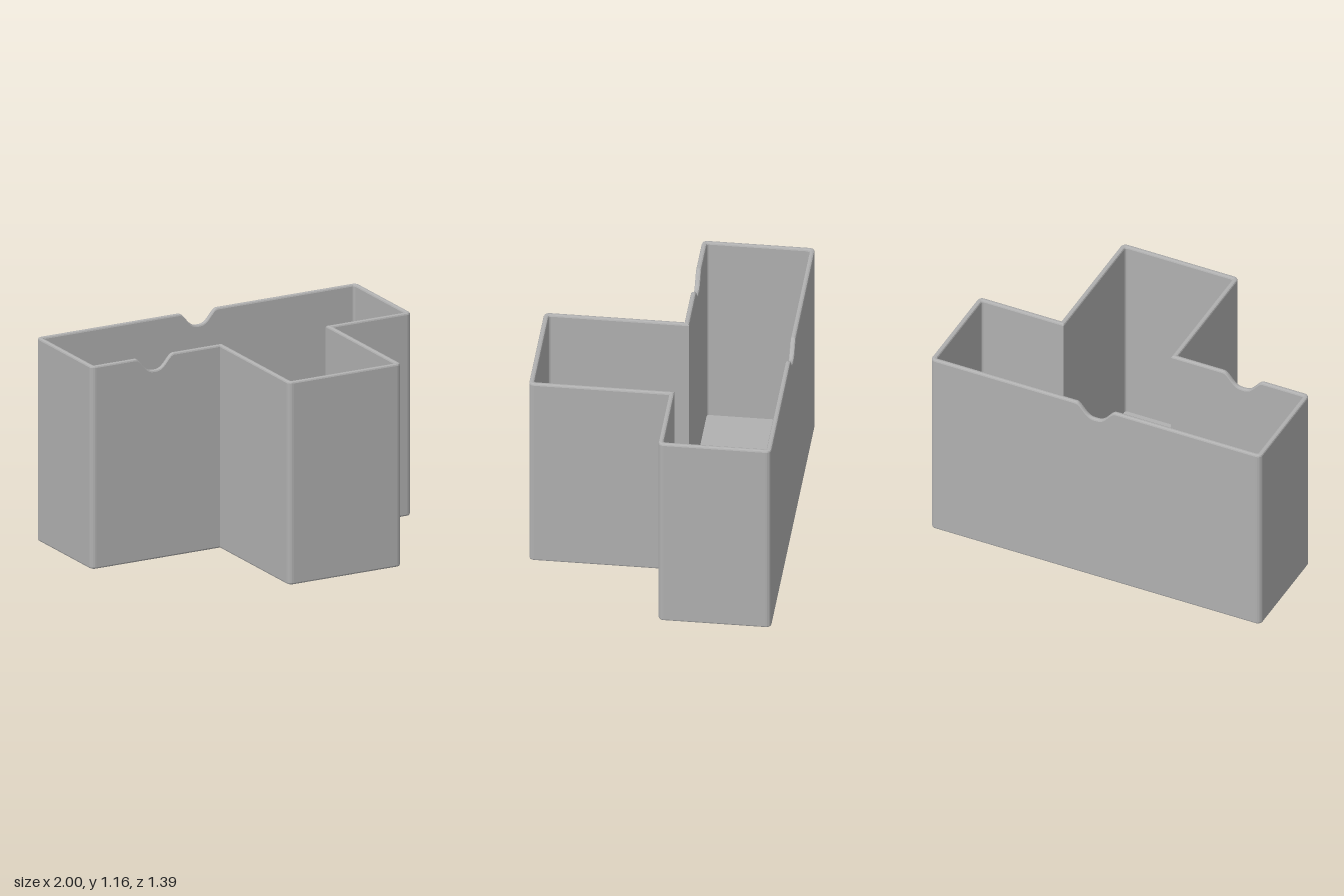
import * as THREE from 'three';
import { toCreasedNormals } from 'three/addons/utils/BufferGeometryUtils.js';

const H = 1.16, WALL = 0.028, FLOOR = 0.03, BEVEL = 0.01;

// T-shaped plan as (x, z) corners, counter-clockwise seen from above
const PLAN = [
  [-1, -0.075], [-0.2, -0.075], [-0.2, 0.695], [0.505, 0.695],
  [0.505, -0.075], [1, -0.075], [1, -0.695], [-1, -0.695],
].map(([x, z]) => new THREE.Vector2(x, z));

// Finger notches: plan edge, centre x, half width, depth
const NOTCHES = [
  { edge: 0, x: -0.605, half: 0.12, depth: 0.08 },
  { edge: 6, x: 0, half: 0.12, depth: 0.08 },
];

// Outline moved inwards by d; every outline has the same number of points
function outline(d) {
  const points = [], n = PLAN.length;
  PLAN.forEach((p, i) => {
    const a = p.clone().sub(PLAN[(i + n - 1) % n]).normalize();
    const b = PLAN[(i + 1) % n].clone().sub(p).normalize();
    const corner = new THREE.Vector2(p.x + d * (a.y + b.y), p.y - d * (a.x + b.x));
    const convex = a.cross(b) < 0;
    if (convex) {
      const r = Math.max(0.03 - d, 0.013);
      const centre = corner.clone().addScaledVector(a, -r).addScaledVector(b, r);
      for (let k = 0; k <= 5; k++) {
        const t = (k / 5) * Math.PI / 2;
        const q = centre.clone().addScaledVector(a, r * Math.sin(t)).addScaledVector(b, -r * Math.cos(t));
        points.push({ x: q.x, z: q.y, drop: 0 });
      }
    } else points.push({ x: corner.x, z: corner.y, drop: 0 });

    // extra points where the rim dips into a notch
    const notch = NOTCHES.find((m) => m.edge === i);
    if (notch) {
      for (let k = -16; k <= 16; k++) {
        const t = k / 16;
        const drop = notch.depth * (1 + Math.cos(Math.PI * Math.abs(t) ** 1.4)) / 2;
        points.push({ x: notch.x + b.x * t * notch.half, z: corner.y, drop });
      }
    }
  });
  return points;
}

// Wall section swept round the plan: [inset, height, follows the rim]
function wallGeometry() {
  const e = BEVEL * 0.3;
  const section = [
    [BEVEL, 0, 0], [e, e, 0], [0, BEVEL, 0],
    [0, H - BEVEL, 1], [e, H - e, 1], [BEVEL, H, 1],
    [WALL - BEVEL, H, 1], [WALL - e, H - e, 1], [WALL, H - BEVEL, 1],
    [WALL, FLOOR, 0],
  ];
  const position = [], index = [];
  let count = 0;
  section.forEach(([inset, y, rim], j) => {
    const loop = outline(inset);
    count = loop.length;
    loop.forEach((p, i) => {
      position.push(p.x, y - rim * p.drop, p.z);
      if (j === section.length - 1) return;
      const next = (i + 1) % count;
      const a = j * count + i, b = j * count + next;
      index.push(a, b, b + count, a, b + count, a + count);
    });
  });
  const geometry = new THREE.BufferGeometry();
  geometry.setAttribute('position', new THREE.Float32BufferAttribute(position, 3));
  geometry.setIndex(index);
  return toCreasedNormals(geometry, 0.15);
}

// Flat plate filling the outline at a given inset, facing up or down
function plateGeometry(inset, y, up) {
  const side = up ? -1 : 1;
  const shape = new THREE.Shape(outline(inset).map((p) => new THREE.Vector2(p.x, side * p.z)));
  return new THREE.ShapeGeometry(shape).rotateX(side * Math.PI / 2).translate(0, y, 0);
}

export function createModel() {
  const group = new THREE.Group();
  group.name = 'tShapedBin';
  const grey = new THREE.MeshStandardMaterial({ color: 0xb0b0b0 });
  grey.name = 'grey';

  const add = (name, geometry) => {
    const mesh = new THREE.Mesh(geometry, grey);
    mesh.name = name;
    group.add(mesh);
  };
  add('walls', wallGeometry());
  add('innerFloor', plateGeometry(WALL, FLOOR, true));
  add('underside', plateGeometry(BEVEL, 0, false));
  return group;
}
